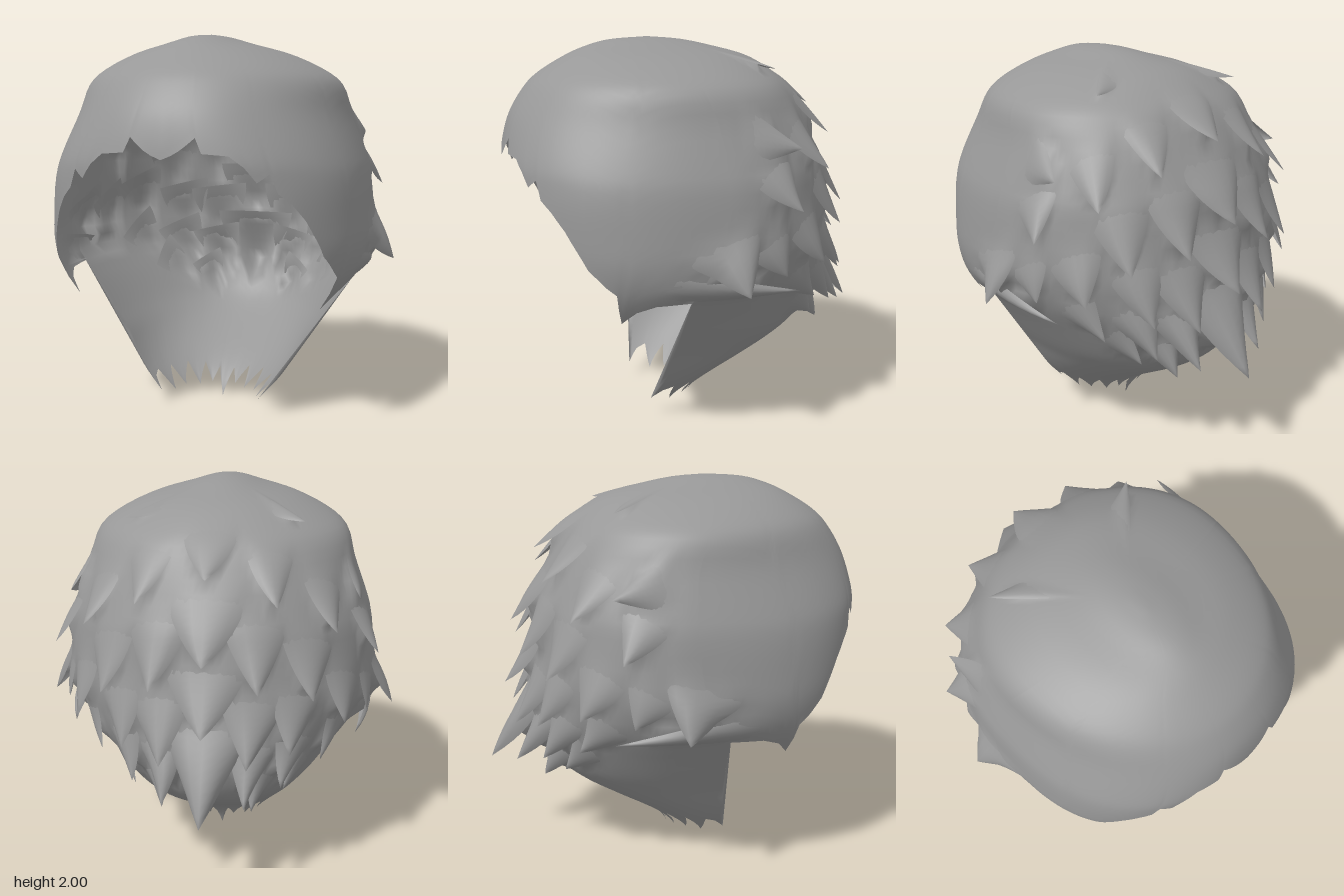
import * as THREE from 'three';
import { mergeVertices } from 'three/addons/utils/BufferGeometryUtils.js';

const RAD = Math.PI / 180;
const RADIUS = 0.8; // typical head radius, turns angles into lengths

// Horizontal sections from crown to nape: y, half width, front z, back z, centre z
const LEVELS = [
  [2, 0, 0.2, 0.2, 0.2], [1.985, 0.1, 0.4, 0.02, 0.2], [1.95, 0.22, 0.53, -0.15, 0.18],
  [1.9, 0.4, 0.64, -0.33, 0.15], [1.82, 0.57, 0.77, -0.46, 0.11], [1.74, 0.66, 0.85, -0.54, 0.07],
  [1.6, 0.7, 0.93, -0.62, 0.02], [1.42, 0.765, 0.97, -0.69, 0], [1.3, 0.8, 0.96, -0.71, 0],
  [1.1, 0.82, 0.94, -0.73, 0.02], [0.95, 0.82, 0.9, -0.74, 0.08], [0.8, 0.77, 0.86, -0.74, 0.16],
  [0.65, 0.67, 0.82, -0.71, 0.18], [0.5, 0.57, 0.8, -0.64, 0.19], [0.4, 0.5, 0.8, -0.53, 0.2],
  [0.3, 0.44, 0.8, -0.36, 0.22], [0.2, 0.37, 0.8, -0.18, 0.24], [0.1, 0.28, 0.8, -0.05, 0.26],
  [0, 0.2, 0.8, 0, 0.26],
];
const sideCurve = new THREE.CatmullRomCurve3(
  LEVELS.map(([y, w, , , c]) => new THREE.Vector3(w, y, c)), false, 'catmullrom', 0.5);
const depthCurve = new THREE.CatmullRomCurve3(
  LEVELS.map(([y, , f, b]) => new THREE.Vector3(f, y, b)), false, 'catmullrom', 0.5);

// Lower hairline: angle from the front in degrees, edge height
const EAR_Y = 0.77;
const HAIRLINE = [
  [0, 1.41], [4, 1.45], [9.5, 1.51], [10.5, 1.44], [19, 1.43], [23, 1.38], [26, 1.31], [31.5, 1.35],
  [33, 1.26], [38, 1.21], [43.5, 1.13], [52, 0.95], [60, 0.87], [65, 0.83], [68, 0.66], [74, 0.73],
  [81, 0.765], [90, EAR_Y], [90.3, 0.09], [97, 0.15], [104, 0.17], [113, 0.06], [121, 0.17],
  [131, 0.07], [140, 0.17], [150, 0.06], [158, 0.16], [166, 0.07], [173, 0.14], [180, 0],
];

// Locks: start angle, start y, tip angle, tip y, half width, lift of the tip
const CENTRE_LOCKS = [
  [180, 1.88, 180, 1.62, 0.19, 0.1], [180, 1.6, 180, 1.25, 0.22, 0.13],
  [180, 1.26, 180, 0.92, 0.2, 0.15], [180, 0.96, 180, 0.54, 0.22, 0.32],
];
const SIDE_LOCKS = [
  [138, 1.93, 136, 1.83, 0.12, 0.08], [98, 1.58, 120, 1.48, 0.14, 0.09],
  [155, 1.8, 157, 1.5, 0.17, 0.09], [130, 1.66, 136, 1.36, 0.17, 0.09],
  [163, 1.5, 165, 1.12, 0.18, 0.12], [142, 1.42, 147, 1.06, 0.18, 0.1],
  [107, 1.46, 115, 1.2, 0.16, 0.1], [164, 1.12, 167, 0.76, 0.17, 0.14],
  [148, 1.14, 153, 0.8, 0.16, 0.11], [125, 1.2, 133, 0.9, 0.17, 0.1],
  [91, 1.12, 101, 0.84, 0.16, 0.16], [106, 1.12, 116, 0.88, 0.14, 0.07],
  [73, 0.87, 123, 0.79, 0.08, 0.1], [162, 0.86, 166, 0.57, 0.15, 0.2],
  [145, 0.9, 152, 0.62, 0.15, 0.13], [124, 0.92, 136, 0.7, 0.14, 0.09],
  [155, 0.68, 161, 0.48, 0.12, 0.13], [134, 0.74, 147, 0.55, 0.12, 0.08],
];

const power = (v, n) => Math.sign(v) * Math.abs(v) ** (2 / n);

// Point on the scalp at an angle from the front (+z) and a fraction of the way down
function scalp(angle, v) {
  const side = sideCurve.getPoint(v), depth = depthCurve.getPoint(v);
  const c = Math.cos(angle);
  const reach = c > 0 ? depth.x - side.z : side.z - depth.z;
  // The front is round near the crown and squarer at the temples
  const n = c > 0 ? 2.65 - 0.65 * THREE.MathUtils.smoothstep(side.y, 1.2, 1.8) : 2.1;
  return new THREE.Vector3(side.x * power(Math.sin(angle), n), side.y, side.z + reach * power(c, n));
}

// Push a point away from the head
function pushOut(p, amount) {
  const out = new THREE.Vector3(p.x, (p.y - 1.1) * 0.2, p.z - 0.1).normalize();
  return p.addScaledVector(out, amount);
}

// Fraction of the way down for a given height
function fractionAt(y) {
  let a = 0, b = 1;
  for (let i = 0; i < 24; i++) {
    const m = (a + b) / 2;
    if (sideCurve.getPoint(m).y > y) a = m; else b = m;
  }
  return (a + b) / 2;
}

// How far the scalp swells out beneath the locks
function swell(angle, y) {
  let most = 0;
  for (const [a0, y0, a1, y1, width, lift] of [...CENTRE_LOCKS, ...SIDE_LOCKS]) {
    const da = (a1 - a0) * RAD * RADIUS, dy = y1 - y0, len = Math.hypot(da, dy);
    const u = (angle - a0 * RAD) * RADIUS, w = y - y0;
    const t = (u * da + w * dy) / (len * len);
    if (t <= 0 || t >= 1) continue;
    const s = (w * da - u * dy) / len / (width * (1 - t ** 1.6));
    if (Math.abs(s) < 1) {
      most = Math.max(most, 0.7 * lift * (1 - s * s) * t ** 1.25 * Math.min(1, (1 - t) / 0.3));
    }
  }
  return most;
}

// Smooth sheet from rows of points
function sheet(rows) {
  const n = rows[0].length, index = [];
  for (let j = 0; j < rows.length - 1; j++) {
    for (let i = 0; i < n - 1; i++) {
      const a = j * n + i;
      index.push(a, a + n, a + 1, a + 1, a + n, a + n + 1);
    }
  }
  let geo = new THREE.BufferGeometry().setFromPoints(rows.flat());
  geo.setIndex(index);
  geo = mergeVertices(geo, 1e-4);
  geo.computeVertexNormals();
  return geo;
}

function shellGeometry() {
  // Columns follow every corner of the hairline, with extra ones between
  const half = [];
  HAIRLINE.forEach(([a, y], i) => {
    half.push([a, y]);
    const next = HAIRLINE[i + 1];
    if (!next) return;
    const steps = Math.ceil((next[0] - a) / 2.5);
    for (let k = 1; k < steps; k++) {
      half.push([a + (next[0] - a) * k / steps, y + (next[1] - y) * k / steps]);
    }
  });
  // Upper rows reach the ear line, lower rows carry only the nape on
  const columns = [...half.slice(1).reverse().map(([a, y]) => [-a, y]), ...half].map(([a, y]) =>
    [a * RAD, fractionAt(Math.max(y, Math.abs(a) > 89 ? EAR_Y : 0)), fractionAt(y)]);
  const point = (a, v) => {
    const p = scalp(a, v);
    return pushOut(p, swell(Math.abs(a), p.y));
  };
  const rows = [];
  for (let j = 0; j <= 32; j++) rows.push(columns.map(([a, v]) => point(a, v * j / 32)));
  for (let j = 1; j <= 18; j++) rows.push(columns.map(([a, v, end]) => point(a, v + (end - v) * j / 18)));
  return sheet(rows);
}

// Pointed tuft that hugs the scalp at its root and lifts off at its tip
function lockGeometry([a0, y0, a1, y1, width, lift], mirror) {
  const A0 = a0 * RAD, A1 = a1 * RAD;
  const da = (A1 - A0) * RADIUS, dy = y1 - y0, len = Math.hypot(da, dy);
  const rows = [];
  for (let j = 0; j <= 10; j++) {
    const t = j / 10, half = width * (1 - t ** 1.6), row = [];
    for (let i = -3; i <= 3; i++) {
      const s = i / 3;
      const angle = A0 + (A1 - A0) * t - (dy / len) * s * half / RADIUS;
      const p = scalp(angle, fractionAt(y0 + dy * t + (da / len) * s * half));
      const rise = t ** 1.25 * (1 - s * s) + t ** 3 * s * s;
      pushOut(p, lift * rise - 0.006 * (1 - t));
      if (mirror) p.x = -p.x;
      row.push(p);
    }
    rows.push(mirror ? row.reverse() : row);
  }
  return sheet(rows);
}

export function createModel() {
  const model = new THREE.Group();
  model.name = 'hair';
  const hairGrey = new THREE.MeshStandardMaterial({ color: 0x989898, side: THREE.DoubleSide });
  hairGrey.name = 'hair grey';
  const add = (name, geo) => {
    const mesh = new THREE.Mesh(geo, hairGrey);
    mesh.name = name;
    model.add(mesh);
  };

  // Main cap with fringe, sideburns and jagged nape
  add('hairCap', shellGeometry());

  // Layered tufts down the back and sides
  CENTRE_LOCKS.forEach((l, i) => add(`centreLock${i + 1}`, lockGeometry(l, false)));
  SIDE_LOCKS.forEach((l, i) => {
    add(`leftLock${i + 1}`, lockGeometry(l, false));
    add(`rightLock${i + 1}`, lockGeometry(l, true));
  });
  return model;
}
